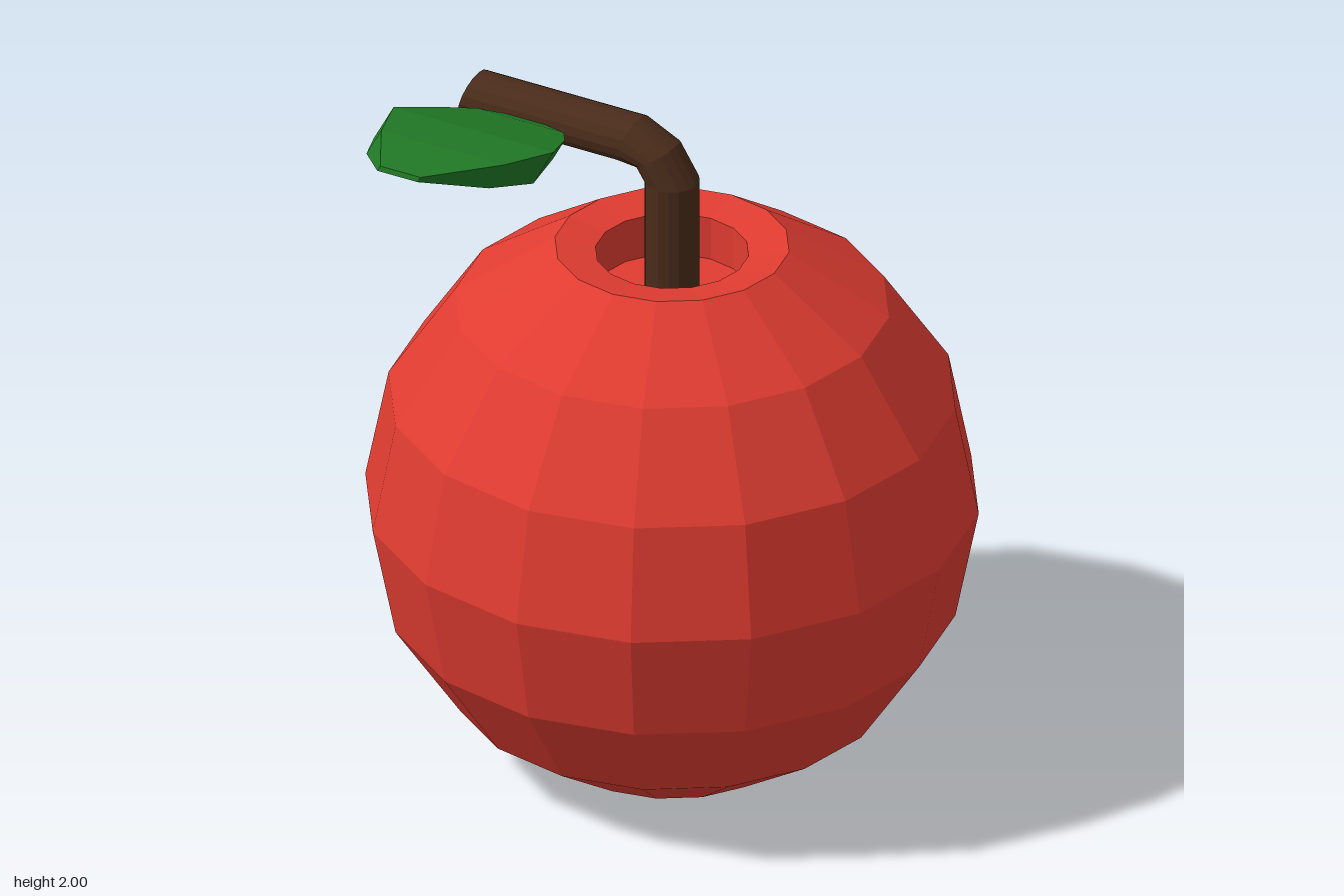
import * as THREE from 'three';

// Skin a list of equal-length rings (counter-clockwise about the travel direction), capped at both ends
function loft(rings) {
  const n = rings[0].length;
  const index = [];
  for (let i = 0; i < rings.length - 1; i++) {
    for (let j = 0; j < n; j++) {
      const a = i * n + j, b = i * n + (j + 1) % n;
      index.push(a, b, b + n, a, b + n, a + n);
    }
  }
  const last = (rings.length - 1) * n;
  for (let j = 1; j < n - 1; j++) {
    index.push(0, j + 1, j, last, last + j, last + j + 1);
  }
  const geometry = new THREE.BufferGeometry();
  geometry.setAttribute('position', new THREE.Float32BufferAttribute(rings.flat(2), 3));
  geometry.setIndex(index);
  const flat = geometry.toNonIndexed();
  flat.computeVertexNormals();
  return flat;
}

function part(name, geometry, color) {
  const material = new THREE.MeshStandardMaterial({ color, flatShading: true });
  const mesh = new THREE.Mesh(geometry, material);
  mesh.name = name;
  return mesh;
}

// Faceted fruit with a flat base and a stepped hollow on top
function fruitGeometry() {
  const profile = [
    [0, 0], [0.25, 0], [0.317, 0.008], [0.587, 0.185], [0.767, 0.453], [0.83, 0.77],
    [0.767, 1.087], [0.587, 1.355], [0.317, 1.535], [0.207, 1.515], [0.207, 1.39], [0, 1.39],
  ].map(([r, y]) => new THREE.Vector2(r, y));
  return new THREE.LatheGeometry(profile, 16);
}

// Bent stem: each section runs from an outer to an inner point of the bend
function stemGeometry() {
  const radius = 0.075, sides = 16;
  const sections = [
    [0.075, 1.38, -0.075, 1.38],
    [0.075, 1.735, -0.075, 1.735],
    [0.01, 1.837, -0.095, 1.765],
    [-0.1, 1.895, -0.15, 1.762],
    [-0.6, 1.895, -0.635, 1.762],
  ];
  return loft(sections.map(([ox, oy, ix, iy]) =>
    Array.from({ length: sides }, (_, k) => {
      const angle = (k / sides) * Math.PI * 2;
      const t = (1 - Math.cos(angle)) / 2;
      return [ox + (ix - ox) * t, oy + (iy - oy) * t, -radius * Math.sin(angle)];
    })));
}

// Thick leaf: thin at both tips, the underside offset along a slanted direction
function leafGeometry() {
  // z, left x, right x, top y, thickness
  const stations = [
    [0.07, -0.47, -0.35, 1.838, 0.008],
    [0.13, -0.53, -0.26, 1.868, 0.035],
    [0.22, -0.57, -0.205, 1.903, 0.06],
    [0.385, -0.64, -0.145, 1.963, 0.1],
    [0.545, -0.585, -0.205, 1.985, 0.075],
    [0.74, -0.475, -0.35, 2.0, 0.015],
  ];
  return loft(stations.map(([z, x0, x1, y, t]) => {
    const dx = -0.5 * t, dz = 0.2 * t;
    return [[x0, y, z], [x0 + dx, y - t, z + dz], [x1 + dx, y - t, z + dz], [x1, y, z]];
  }));
}

export function createModel() {
  const model = new THREE.Group();
  model.name = 'apple';
  model.add(
    part('fruit', fruitGeometry(), 0xe03c31),
    part('stem', stemGeometry(), 0x4a2c1a),
    part('leaf', leafGeometry(), 0x217a26),
  );
  return model;
}
